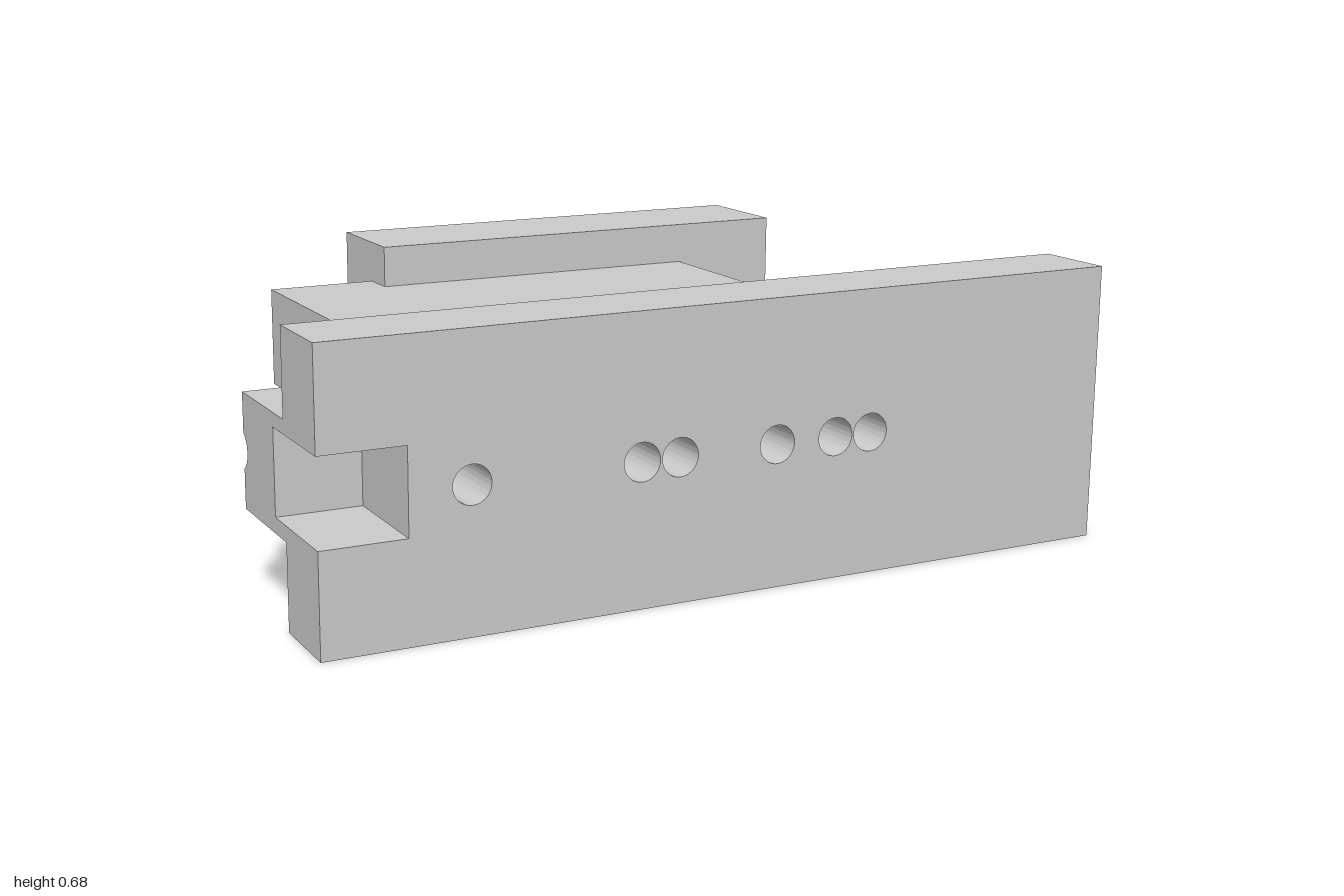
import * as THREE from 'three';
import { mergeGeometries, toCreasedNormals } from 'three/addons/utils/BufferGeometryUtils.js';

const MAT = new THREE.MeshStandardMaterial({ color: 0xcccccc });
const Y = 0.338; // height of every hole axis
const R = 0.045; // small hole radius
const FRONT = 0.913, JOIN = 0.713, BACK = -0.913;
const Z_HOLES = [-0.25, -0.155, 0.095, 0.25, 0.345].map((c) => ({ c, r: R }));
const X_HOLES = [{ c: 0.09, r: 0.065 }, { c: 0.415, r: R }];

// Rectangle with optional round holes, a square notch in its left edge, and round bites in its sides
function profile(x0, x1, y0, y1, { holes = [], notch, leftBite, rightBite } = {}) {
  const s = new THREE.Shape();
  s.moveTo(x0, y0);
  s.lineTo(x1, y0);
  if (rightBite !== undefined) {
    const a = Math.acos((x1 - rightBite) / R);
    s.absarc(rightBite, Y, R, -a, a, true);
  }
  s.lineTo(x1, y1);
  s.lineTo(x0, y1);
  if (leftBite !== undefined) {
    const a = Math.acos((x0 - leftBite) / R);
    s.absarc(leftBite, Y, R, a, -a, true);
  }
  if (notch) {
    s.lineTo(x0, notch.y1);
    s.lineTo(notch.x, notch.y1);
    s.lineTo(notch.x, notch.y0);
    s.lineTo(x0, notch.y0);
  }
  s.closePath();
  for (const { c, r } of holes) {
    s.holes.push(new THREE.Path().absarc(c, Y, r, 0, Math.PI * 2, true));
  }
  return s;
}

// Solid bar along z between two depths
function bar(shape, z0, z1) {
  const g = new THREE.ExtrudeGeometry(shape, { depth: z1 - z0, bevelEnabled: false, curveSegments: 24 });
  return toCreasedNormals(g.translate(0, 0, z0), 0.6);
}

// Inner wall of a round hole along x or z, left open where other holes cross it
function holeWall(axis, { c, r }, from, to, crossing) {
  const N = 64, pos = [], nor = [], idx = [];
  const rows = 2 * crossing.length + 2;
  for (let i = 0; i <= N; i++) {
    const t = (i / N) * Math.PI * 2, o = Math.cos(t), h = Math.sin(t);
    const stops = [from];
    for (const k of crossing) {
      const half = Math.sqrt(Math.max(0, k.r ** 2 - (r * h) ** 2));
      stops.push(k.c - half, k.c + half);
    }
    stops.push(to);
    for (const s of stops) {
      pos.push(...(axis === 'z' ? [c + r * o, Y + r * h, s] : [s, Y + r * h, c + r * o]));
      nor.push(...(axis === 'z' ? [-o, -h, 0] : [0, -h, -o]));
    }
  }
  for (let i = 0; i < N; i++) {
    for (let j = 0; j < rows; j += 2) {
      const a = i * rows + j, b = a + rows;
      if (axis === 'z') idx.push(a, b + 1, b, a, a + 1, b + 1);
      else idx.push(a, b, b + 1, a, b + 1, a + 1);
    }
  }
  const g = new THREE.BufferGeometry();
  g.setAttribute('position', new THREE.Float32BufferAttribute(pos, 3));
  g.setAttribute('normal', new THREE.Float32BufferAttribute(nor, 3));
  g.setIndex(idx);
  return g;
}

// Central block: a skin of flat faces plus crossing hole walls
function bodyGeometry() {
  const x0 = -0.55, x1 = 0.695, y0 = 0.203, y1 = 0.473, z = JOIN;
  const face = (a, b, holes) => new THREE.ShapeGeometry(profile(a, b, y0, y1, { holes }), 32)
    .deleteAttribute('uv');
  const flip = (holes) => holes.map(({ c, r }) => ({ c: -c, r }));
  const lid = (side) => new THREE.PlaneGeometry(x1 - x0, 2 * z)
    .deleteAttribute('uv')
    .rotateX(-side * Math.PI / 2)
    .translate((x0 + x1) / 2, side > 0 ? y1 : y0, 0);
  return mergeGeometries([
    lid(1),
    lid(-1),
    face(x0, x1, Z_HOLES).translate(0, 0, z),
    face(-x1, -x0, flip(Z_HOLES)).rotateY(Math.PI).translate(0, 0, -z),
    face(-z, z, flip(X_HOLES)).rotateY(Math.PI / 2).translate(x1, 0, 0),
    face(-z, z, X_HOLES).rotateY(-Math.PI / 2).translate(x0, 0, 0),
    ...Z_HOLES.map((h) => holeWall('z', h, -z, z, X_HOLES)),
    ...X_HOLES.map((h) => holeWall('x', h, x0, x1, Z_HOLES)),
  ]);
}

export function createModel() {
  const model = new THREE.Group();
  const add = (name, geometry, parent = model) => {
    const mesh = new THREE.Mesh(geometry, MAT);
    mesh.name = name;
    parent.add(mesh);
  };
  const notch = { x: -0.8, y0: 0.24, y1: 0.44 };
  const outer = { c: -0.655, r: R };

  // Front plate with a row of holes and a notched end
  add('frontPlate', bar(profile(-1, 1, 0, 0.675, { holes: [outer, ...Z_HOLES], notch }), JOIN, FRONT));

  // Central block drilled both ways
  add('centreBlock', bodyGeometry());

  // Back plate, whose end is grooved by the first hole
  add('backPlate', bar(
    profile(-0.25, 1, 0.09, 0.585, { holes: Z_HOLES.slice(1), leftBite: -0.25 }), BACK, -0.613));

  // Small side block: notched in front, grooved on its inner and rear faces
  const side = new THREE.Group();
  side.name = 'sideBlock';
  model.add(side);
  const y0 = 0.203, y1 = 0.473, x1 = -0.63, xMid = -0.7;
  const zRear = 0.435, zGroove = 0.46, zNotch = 0.645;
  add('sideBlockFront', bar(profile(-1, x1, y0, y1, { notch, rightBite: outer.c }), zNotch, JOIN), side);
  add('sideBlockOuter', bar(profile(-zNotch, -zRear, y0, y1, { rightBite: -0.415 }), -1, xMid)
    .rotateY(Math.PI / 2), side);
  add('sideBlockInner', bar(profile(xMid, x1, y0, y1, { rightBite: outer.c }), zGroove, zNotch), side);
  for (const [name, a, b] of [['lowerCorner', y0, Y - R], ['upperCorner', Y + R, y1]]) {
    add(name, bar(profile(xMid, x1, a, b), zRear, zGroove), side);
  }
  return model;
}
